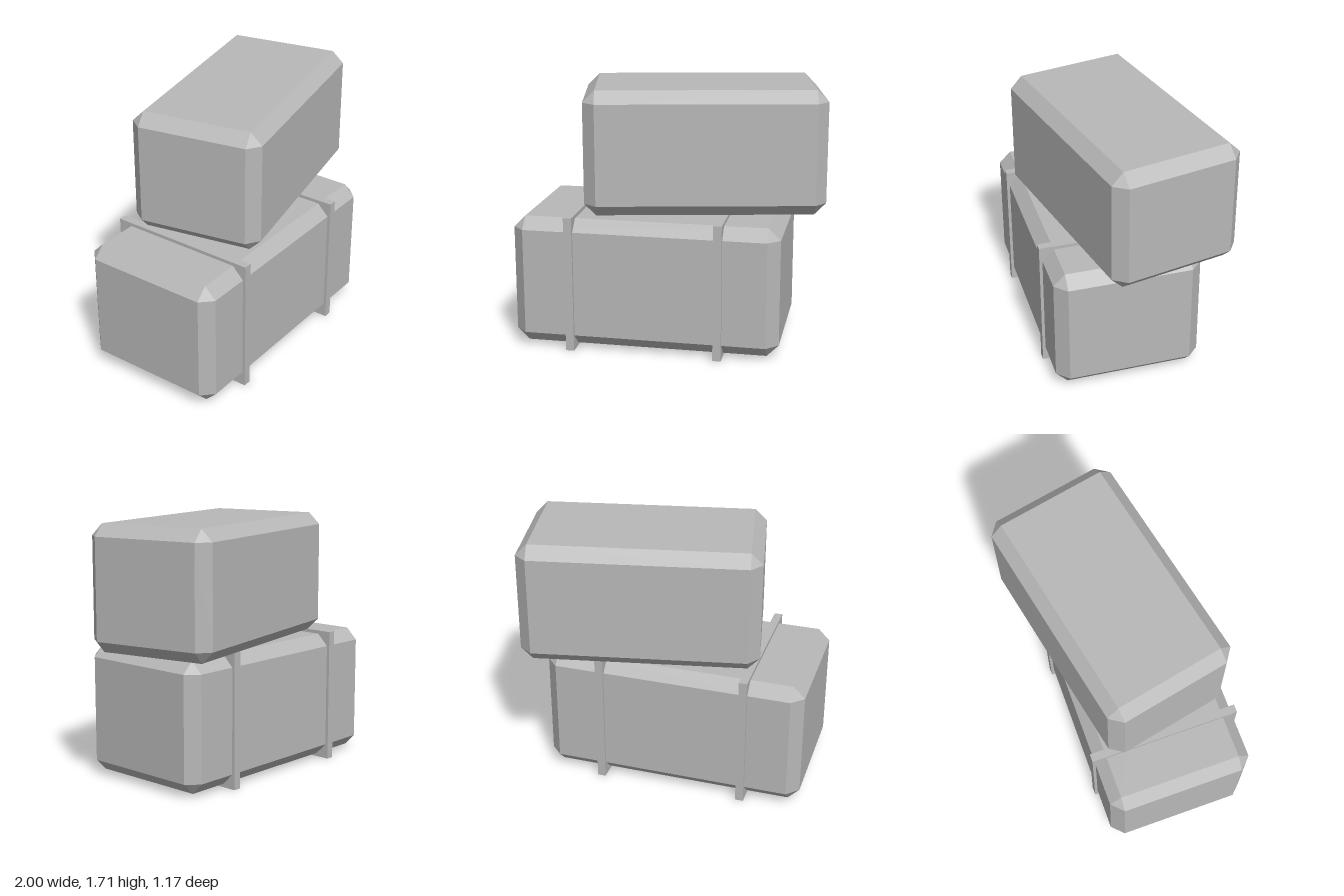
import * as THREE from 'three';
import { ConvexGeometry } from 'three/addons/geometries/ConvexGeometry.js';

const CHAMFER = 0.077;

// Box with every edge cut flat: three points around each corner
function chamferedBox(w, h, d, c = CHAMFER) {
  const points = [];
  for (const sx of [-1, 1]) for (const sy of [-1, 1]) for (const sz of [-1, 1]) {
    const x = w / 2, y = h / 2, z = d / 2;
    points.push(
      new THREE.Vector3(sx * x, sy * (y - c), sz * (z - c)),
      new THREE.Vector3(sx * (x - c), sy * y, sz * (z - c)),
      new THREE.Vector3(sx * (x - c), sy * (y - c), sz * z)
    );
  }
  return new ConvexGeometry(points);
}

export function createModel() {
  const model = new THREE.Group();
  model.name = 'stackedBales';
  const grey = new THREE.MeshStandardMaterial({ color: 0xb8b8b8 });
  grey.name = 'grey';

  const add = (name, geometry, x, y, z, turn = 0) => {
    const mesh = new THREE.Mesh(geometry, grey);
    mesh.name = name;
    mesh.position.set(x, y, z);
    mesh.rotation.y = turn;
    model.add(mesh);
  };

  // Lower bale
  add('lowerBale', chamferedBox(1.745, 0.855, 0.97), -0.127, 0.45, 0.08);

  // Straps wrapped around the lower bale
  [['rightStrap', -0.615], ['leftStrap', 0.357]].forEach(([name, x]) =>
    add(name, new THREE.BoxGeometry(0.054, 0.9, 1.01), x, 0.45, 0.08));

  // Upper bale, resting on the straps at a slight turn
  add('upperBale', chamferedBox(1.555, 0.81, 0.875), 0.163, 1.305, -0.018, 0.205);

  return model;
}
